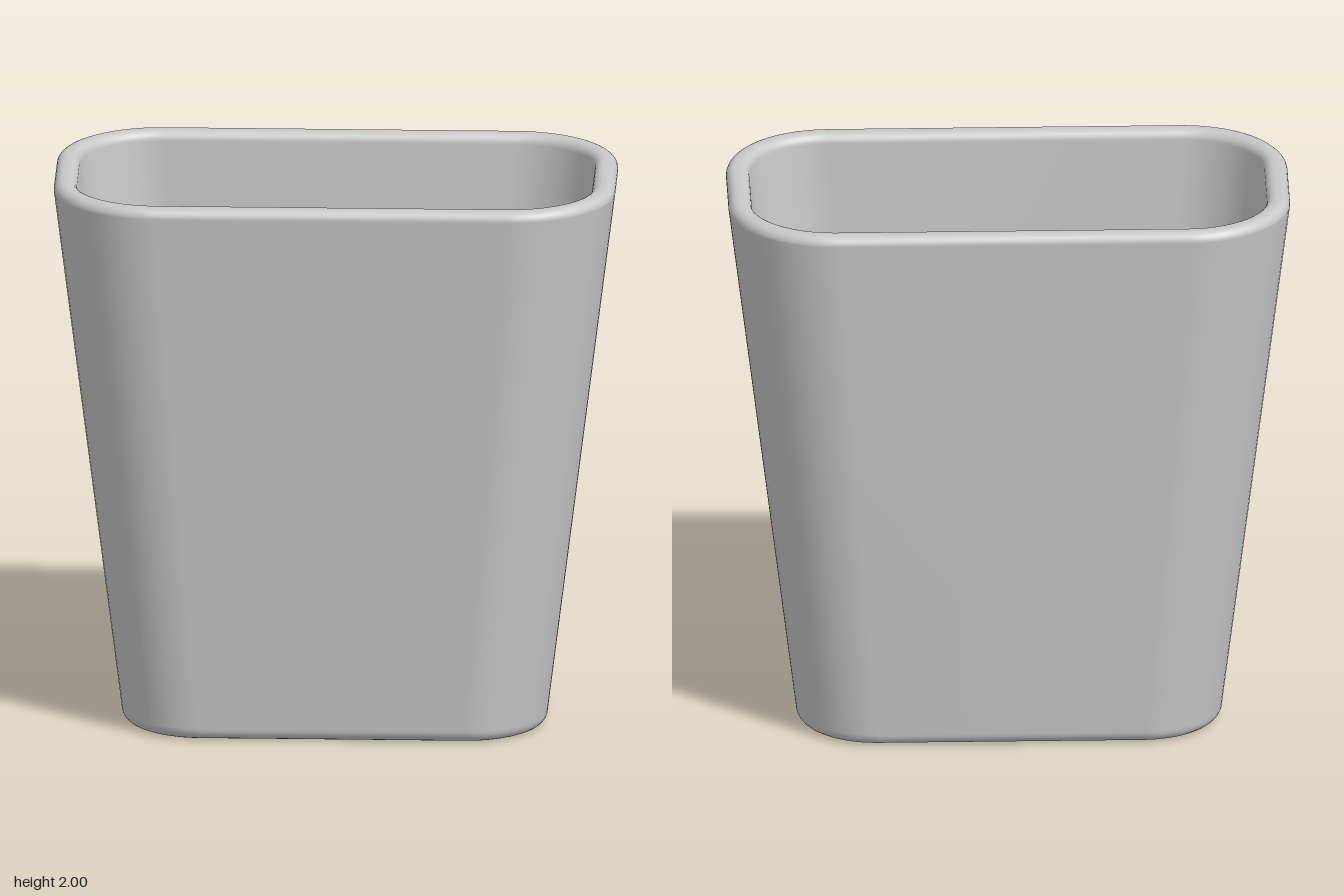
import * as THREE from 'three';

const CORNER_STEPS = 14;

// Rounded-rectangle ring at height y: half width, half depth, corner radius
function ring(y, hx, hz, r) {
  const points = [];
  for (let corner = 0; corner < 4; corner++) {
    const sx = corner === 0 || corner === 3 ? 1 : -1;
    const sz = corner < 2 ? 1 : -1;
    for (let i = 0; i <= CORNER_STEPS; i++) {
      const a = (corner + i / CORNER_STEPS) * Math.PI / 2;
      points.push([sx * (hx - r) + r * Math.cos(a), y, sz * (hz - r) + r * Math.sin(a)]);
    }
  }
  return points;
}

// Skin a list of rings with smooth normals
function loft(rings) {
  const n = rings[0].length;
  const index = [];
  for (let i = 0; i < rings.length - 1; i++) {
    for (let j = 0; j < n; j++) {
      const k = (j + 1) % n;
      const a = i * n + j, b = i * n + k, c = a + n, d = b + n;
      index.push(a, c, b, b, c, d);
    }
  }
  const geometry = new THREE.BufferGeometry();
  geometry.setAttribute('position', new THREE.Float32BufferAttribute(rings.flat(2), 3));
  geometry.setIndex(index);
  geometry.computeVertexNormals();
  return geometry;
}

export function createModel() {
  const group = new THREE.Group();
  group.name = 'wasteBin';
  const plastic = new THREE.MeshStandardMaterial({ color: 0xc8c8c8 });
  plastic.name = 'light grey plastic';

  const add = (name, rings) => {
    const mesh = new THREE.Mesh(loft(rings), plastic);
    mesh.name = name;
    group.add(mesh);
  };

  const base = (y, inset) => ring(y, 0.755 - inset, 0.4 - inset, 0.285 - inset);
  const rim = (y, inset) => ring(y, 0.995 - inset, 0.523 - inset, 0.37 - inset);
  const floorRing = ring(0.15, 0.715, 0.345, 0.235);

  // Tapered shell: rounded foot, outer wall, rounded rim, inner wall
  const shell = [];
  const foot = 0.045, lip = 0.035, wall = 0.083, steps = 6;
  for (let i = 0; i <= steps; i++) {
    const a = i / steps * Math.PI / 2;
    shell.push(base(foot * (1 - Math.cos(a)), foot * (1 - Math.sin(a))));
  }
  for (let i = 0; i <= steps; i++) {
    const a = i / steps * Math.PI / 2;
    shell.push(rim(2 - lip * (1 - Math.sin(a)), lip * (1 - Math.cos(a))));
  }
  for (let i = 0; i <= steps; i++) {
    const a = i / steps * Math.PI / 2;
    shell.push(rim(2 - lip * (1 - Math.cos(a)), wall - lip * (1 - Math.sin(a))));
  }
  shell.push(floorRing);
  add('shell', shell);

  // Flat underside and inner floor
  add('underside', [ring(0, 0, 0, 0), base(0, foot)]);
  add('innerFloor', [floorRing, ring(0.15, 0, 0, 0)]);

  return group;
}
